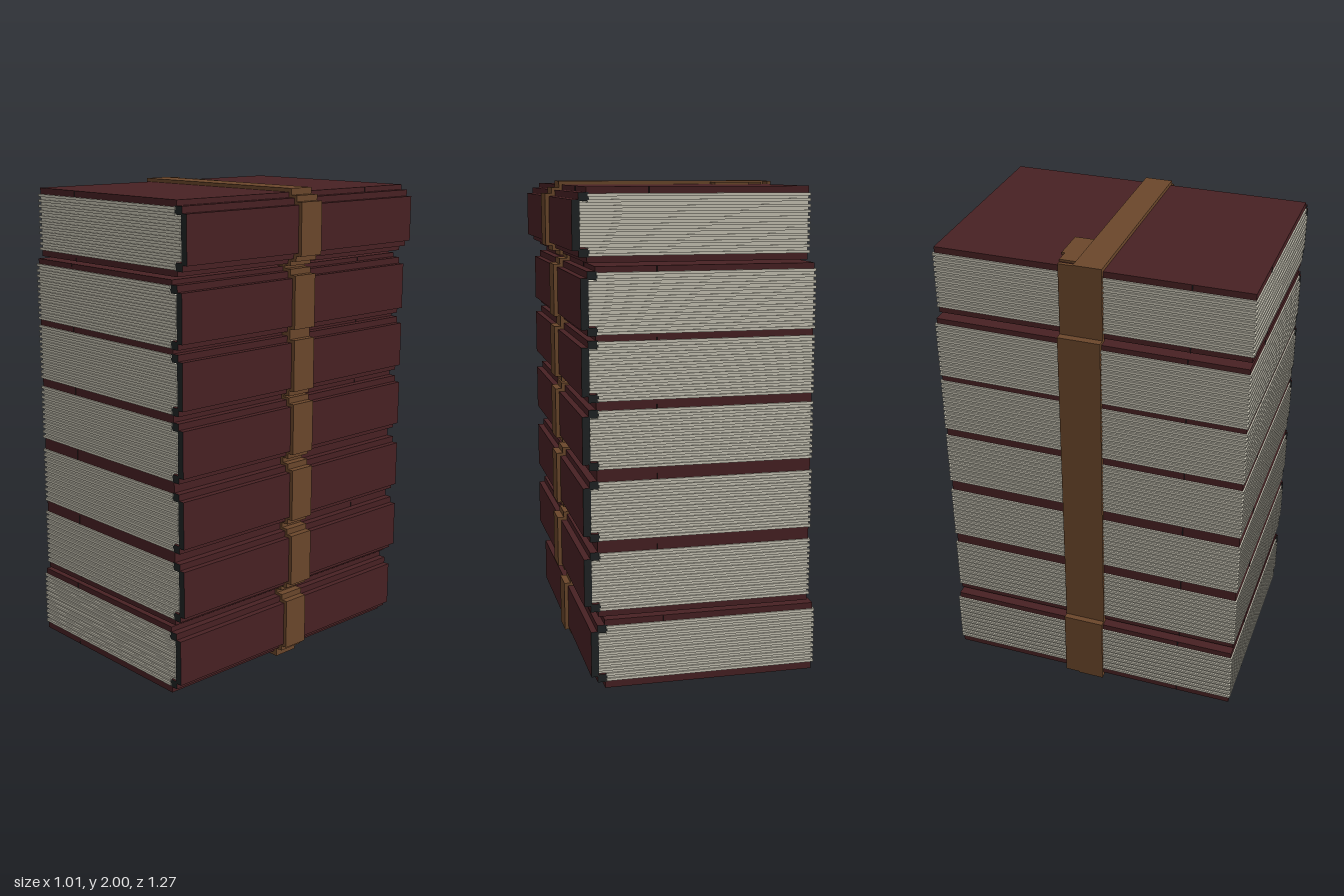
import * as THREE from 'three';

const mat = (name, color) => Object.assign(new THREE.MeshStandardMaterial({ color }), { name });

export function createModel() {
  const leather = mat('leather', 0x482123);
  const dark = mat('darkTrim', 0x1f2324);
  const paper = mat('paper', 0xc9c5b5);
  const strap = mat('strapBrown', 0x6b472b);
  const root = new THREE.Group();
  root.name = 'strappedBookStack';

  // Box given by its minimum and maximum corners
  const box = (parent, name, m, x0, x1, y0, y1, z0, z1) => {
    const mesh = new THREE.Mesh(new THREE.BoxGeometry(x1 - x0, y1 - y0, z1 - z0), m);
    mesh.position.set((x0 + x1) / 2, (y0 + y1) / 2, (z0 + z1) / 2);
    mesh.name = name;
    parent.add(mesh);
    return mesh;
  };

  // Quarter-round corner patch, its corner at the given point
  const cornerPatch = (parent, x, y, z, height, turn) => {
    const s = new THREE.Shape();
    s.moveTo(0, 0);
    s.absarc(0, 0, 0.24, 0, Math.PI / 2, false);
    s.closePath();
    const g = new THREE.ExtrudeGeometry(s, { depth: height, bevelEnabled: false, curveSegments: 10 });
    g.rotateX(-Math.PI / 2);
    const mesh = new THREE.Mesh(g, dark);
    mesh.position.set(x, y, z);
    mesh.rotation.y = turn;
    mesh.name = 'cornerPatch';
    parent.add(mesh);
  };

  const endDark = [leather, leather, leather, leather, dark, dark];
  const D = 0.63;                 // half depth of the covers
  const ZB = -0.061, ZF = 0.053;  // strap edges

  // page bottom, page top, sideways shift, lower and upper cover thickness
  const books = [
    [0.05, 0.28, -0.055, 0.03, 0.025],
    [0.345, 0.58, -0.03, 0.025, 0.025],
    [0.63, 0.865, -0.03, 0.025, 0.025],
    [0.915, 1.145, -0.03, 0.025, 0.0175],
    [1.18, 1.41, -0.03, 0.0175, 0.0125],
    [1.435, 1.67, -0.03, 0.0125, 0.022],
    [1.73, 1.96, 0, 0.025, 0.025],
  ];

  books.forEach(([y0, y1, dx, lo, hi], i) => {
    const book = new THREE.Group();
    book.name = 'book' + (i + 1);
    book.position.x = dx;
    root.add(book);

    // Covers
    box(book, 'lowerCover', leather, -0.435, 0.43, y0 - lo, y0, -D, D);
    box(book, 'upperCover', leather, -0.435, 0.43, y1, y1 + hi, -D, D);
    cornerPatch(book, -0.437, y0 - lo - 0.002, D + 0.002, lo, 0);
    cornerPatch(book, -0.437, y1, D + 0.002, hi - 0.001, 0);
    cornerPatch(book, 0.432, y1, -D - 0.002, hi - 0.001, Math.PI);

    // Pages as alternating long and short sheets
    const n = 21, h = (y1 - y0) / n;
    for (let k = 0; k < n; k++) {
      const inset = k % 2 ? 0.007 : 0;
      const right = k < 3 || k > n - 4 ? 0.425 : 0.455;
      box(book, 'pages', paper, -0.442 + inset, right, y0 + k * h, y0 + (k + 1) * h,
        -0.636 + inset, 0.636 - inset);
    }

    // Stepped hinges and spine with dark ends
    const D2 = D + 0.001;
    box(book, 'lowerHinge', endDark, 0.42, 0.46, y0 - 0.004, y0 + 0.028, -D2, D2);
    box(book, 'upperHinge', endDark, 0.42, 0.46, y1 - 0.028, y1 + 0.004, -D2, D2);
    box(book, 'spine', endDark, 0.455, 0.485, y0 + 0.02, y1 - 0.022, -D2, D2);

    // Strap following the spine steps
    box(book, 'strapCoverStep', strap, 0.4, 0.443, y0 - lo - 0.008, y1 + hi + 0.008, ZB, ZF);
    box(book, 'strapHingeStep', strap, 0.4, 0.474, y0 - 0.014, y1 + 0.014, ZB, ZF);
    box(book, 'strapSpine', strap, 0.45, 0.501, y0 + 0.008, y1 - 0.01, ZB, ZF);
  });

  // Strap down the fore edge, in three runs that follow the shifted books
  const runs = [[0.005, 0.31, -0.505], [0.3, 1.7, -0.48], [1.69, 1.998, -0.45]];
  runs.forEach(([a, b, x]) => box(root, 'strapForeEdge', strap, x, x + 0.016, a, b, -0.12, ZF));
  box(root, 'strapForeStep', strap, -0.505, -0.45, 0.3, 0.315, -0.12, ZF);
  box(root, 'strapForeStep', strap, -0.48, -0.43, 1.688, 1.703, -0.12, ZF);

  // Strap across the top and the bottom, and its loose tail
  box(root, 'strapTop', strap, -0.45, 0.443, 1.98, 2, ZB, ZF);
  box(root, 'strapBottom', strap, -0.505, 0.388, 0, 0.022, ZB, ZF);
  box(root, 'strapTail', strap, -0.345, -0.2, 1.98, 1.994, -0.143, ZB);
  box(root, 'strapTail', strap, -0.405, -0.345, 1.98, 1.994, -0.13, ZB);

  return root;
}
